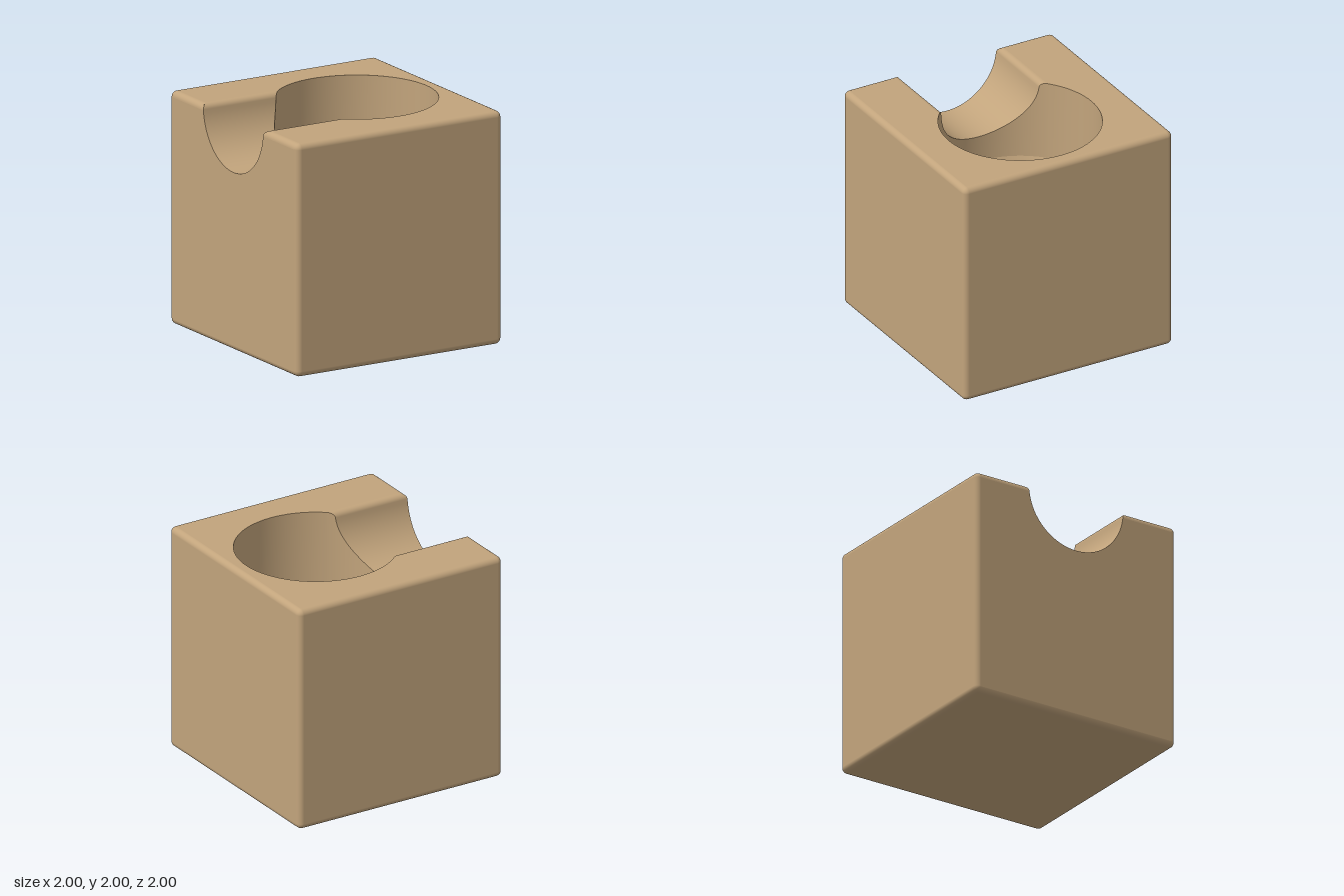
import * as THREE from 'three';
import { RoundedBoxGeometry } from 'three/addons/geometries/RoundedBoxGeometry.js';

const EDGE = 0.05;                       // rounding of block edges and channel lips
const SIDE = 0.9555;                     // extent of the flat faces
const POCKET = { x: 0.2, r: 0.68, floorR: 0.475, taperY: 1.3, floorY: 0.72 };
const CHANNEL_R = 0.47;
const LIP_Z = Math.sqrt((CHANNEL_R + EDGE) ** 2 - EDGE ** 2);
const LIP_ANGLE = Math.asin(EDGE / (CHANNEL_R + EDGE));
const TANGENT_Z = CHANNEL_R * Math.cos(LIP_ANGLE);

// smooth surface through rows of [x, y, z] points
function surface(rows) {
  const n = rows[0].length, index = [];
  for (let i = 0; i < rows.length - 1; i++) {
    for (let j = 0; j < n - 1; j++) {
      const a = i * n + j, c = a + n;
      index.push(a, a + 1, c, a + 1, c + 1, c);
    }
  }
  const g = new THREE.BufferGeometry();
  g.setAttribute('position', new THREE.Float32BufferAttribute(rows.flat(2), 3));
  g.setIndex(index);
  g.computeVertexNormals();
  return g;
}

// channel height across z, and lip position at a given height
const channelY = z => Math.abs(z) < TANGENT_Z
  ? 2 - Math.sqrt(CHANNEL_R ** 2 - z * z)
  : 2 - EDGE + Math.sqrt(Math.max(0, EDGE ** 2 - (LIP_Z - Math.abs(z)) ** 2));
const lipZ = y => LIP_Z - Math.sqrt(Math.max(0, EDGE ** 2 - (y - 2 + EDGE) ** 2));
const mouthX = y => {
  const h = Math.max(0, y - 2 + EDGE);
  return -1 + EDGE - Math.sqrt(Math.max(0, EDGE ** 2 - h * h));
};

// channel cross-section as [z, y], from +z lip to -z lip
function channelProfile() {
  const lip = [], arc = [];
  for (let i = 0; i <= 8; i++) {
    const t = Math.PI / 2 + (Math.PI / 2 - LIP_ANGLE) * i / 8;
    lip.push([LIP_Z + EDGE * Math.cos(t), 2 - EDGE + EDGE * Math.sin(t)]);
  }
  for (let i = 1; i < 40; i++) {
    const t = LIP_ANGLE + (Math.PI - 2 * LIP_ANGLE) * i / 40;
    arc.push([CHANNEL_R * Math.cos(t), 2 - CHANNEL_R * Math.sin(t)]);
  }
  return [...lip, ...arc, ...lip.map(([z, y]) => [-z, y]).reverse()];
}

// rounded block without its top face, channel-side face and the edge between them
function shell() {
  const src = new RoundedBoxGeometry(2, 2, 2, 4, EDGE).toNonIndexed();
  src.translate(0, 1, 0);
  const p = src.attributes.position, nor = src.attributes.normal;
  const pos = [], nrm = [], lim = 0.953;
  for (let i = 0; i < p.count; i += 3) {
    const mid = f => (f(i) + f(i + 1) + f(i + 2)) / 3;
    const x = mid(k => p.getX(k)), y = mid(k => p.getY(k)) - 1, z = mid(k => p.getZ(k));
    if (Math.abs(z) < lim && ((y > lim && x < lim) || (x < -lim && y > -lim))) continue;
    for (let k = i; k < i + 3; k++) {
      pos.push(p.getX(k), p.getY(k), p.getZ(k));
      nrm.push(nor.getX(k), nor.getY(k), nor.getZ(k));
    }
  }
  const g = new THREE.BufferGeometry();
  g.setAttribute('position', new THREE.Float32BufferAttribute(pos, 3));
  g.setAttribute('normal', new THREE.Float32BufferAttribute(nrm, 3));
  return g;
}

export function createModel() {
  const group = new THREE.Group();
  const tan = new THREE.MeshStandardMaterial({ color: 0xc2a47c, side: THREE.DoubleSide });
  tan.name = 'tan';
  const add = (name, geometry) => {
    const mesh = new THREE.Mesh(geometry, tan);
    mesh.name = name;
    group.add(mesh);
    return mesh;
  };

  add('blockShell', shell());

  // channel running from the side face into the pocket
  const profile = channelProfile();
  add('channel', surface(profile.map(([z, y]) => {
    const end = POCKET.x - Math.sqrt(POCKET.r ** 2 - z * z);
    return [[mouthX(y), y, z], [end, y, z]];
  })));

  // angles around the pocket, including every channel profile point
  const mouth = profile.map(([z]) => Math.PI - Math.asin(z / POCKET.r));
  const first = mouth[0], last = mouth[mouth.length - 1];
  const rim = [];
  for (let i = 0; i <= 64; i++) rim.push(last + (first + 2 * Math.PI - last) * i / 64);
  const around = [...mouth, ...rim.slice(1)];
  const ring = (a, r, y) => [POCKET.x + r * Math.cos(a), y, r * Math.sin(a)];

  // pocket: straight wall, tapered lower wall and floor
  add('pocketWall', surface(around.map((a, i) => {
    const top = i < mouth.length ? channelY(profile[i][0]) : 2;
    return [ring(a, POCKET.r, top), ring(a, POCKET.r, POCKET.taperY)];
  })));
  add('pocketTaper', surface(around.map(a =>
    [ring(a, POCKET.r, POCKET.taperY), ring(a, POCKET.floorR, POCKET.floorY)])));
  const floor = add('pocketFloor', new THREE.CircleGeometry(POCKET.floorR, 64).rotateX(-Math.PI / 2));
  floor.position.set(POCKET.x, POCKET.floorY, 0);

  // top face cut by the pocket and channel
  const left = -1 + EDGE;
  const outline = [[left, -LIP_Z], [left, -SIDE], [SIDE, -SIDE], [SIDE, SIDE], [left, SIDE], [left, LIP_Z]];
  const cut = rim.map(a => [POCKET.x + POCKET.r * Math.cos(a), POCKET.r * Math.sin(a)]).reverse();
  const topShape = new THREE.Shape([...outline, ...cut].map(([x, z]) => new THREE.Vector2(x, -z)));
  add('topFace', new THREE.ShapeGeometry(topShape).rotateX(-Math.PI / 2).translate(0, 2, 0));

  // side face with the channel notch
  const notch = profile.filter(([, y]) => y < 2 - EDGE);
  const edgeZ = lipZ(2 - EDGE);
  const sidePoints = [[-SIDE, 1 - SIDE], [SIDE, 1 - SIDE], [SIDE, 2 - EDGE], [edgeZ, 2 - EDGE],
    ...notch, [-edgeZ, 2 - EDGE], [-SIDE, 2 - EDGE]];
  const sideShape = new THREE.Shape(sidePoints.map(([z, y]) => new THREE.Vector2(z, y)));
  add('channelSideFace', new THREE.ShapeGeometry(sideShape).rotateY(-Math.PI / 2).translate(-1, 0, 0));

  // rounded top edge on both sides of the channel mouth
  for (const s of [1, -1]) {
    const rows = [];
    for (let i = 0; i <= 8; i++) {
      const t = Math.PI / 2 * i / 8;
      const x = left - EDGE * Math.cos(t), y = 2 - EDGE + EDGE * Math.sin(t);
      const row = [[x, y, s * lipZ(y)], [x, y, s * SIDE]];
      rows.push(s > 0 ? row : row.reverse());
    }
    add(s > 0 ? 'mouthEdgeFront' : 'mouthEdgeBack', surface(rows));
  }
  return group;
}
